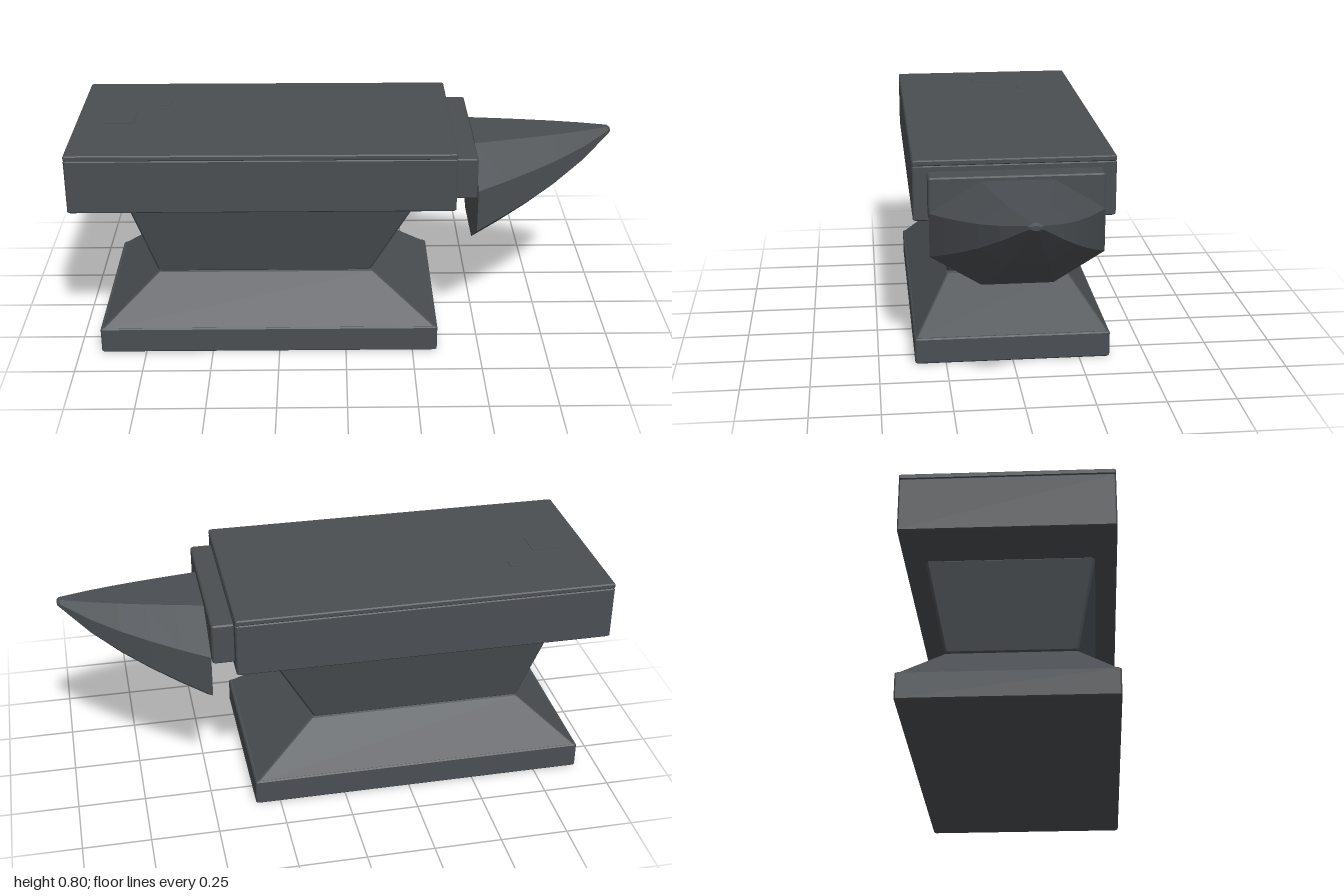
import * as THREE from 'three';

const steel = new THREE.MeshStandardMaterial({ color: 0x4a4e52 });
steel.name = 'dark steel';

// Skins a stack of rings (counter-clockwise about the stacking direction) with flat faces and end caps
function loft(rings) {
  const pos = [];
  const tri = (a, b, c) => pos.push(...a, ...b, ...c);
  const n = rings[0].length;
  for (let r = 0; r < rings.length - 1; r++) {
    const lo = rings[r], hi = rings[r + 1];
    for (let i = 0; i < n; i++) {
      const j = (i + 1) % n;
      tri(lo[i], lo[j], hi[j]);
      tri(lo[i], hi[j], hi[i]);
    }
  }
  const first = rings[0], last = rings[rings.length - 1];
  for (let i = 1; i < n - 1; i++) {
    tri(first[0], first[i + 1], first[i]);
    tri(last[0], last[i], last[i + 1]);
  }
  const geo = new THREE.BufferGeometry();
  geo.setAttribute('position', new THREE.Float32BufferAttribute(pos, 3));
  geo.computeVertexNormals();
  return geo;
}

// Horizontal rectangle with cut corners
function rectRing(y, x0, x1, z, c) {
  return [
    [x1, y, z - c], [x1, y, -z + c], [x1 - c, y, -z], [x0 + c, y, -z],
    [x0, y, -z + c], [x0, y, z - c], [x0 + c, y, z], [x1 - c, y, z],
  ];
}

// Block that may taper from bottom [y, x0, x1, z] to top, with chamfered edges
function block(bottom, top, c = 0.005) {
  const at = (h, inset) => {
    const [y, x0, x1, z] = bottom.map((v, i) => THREE.MathUtils.lerp(v, top[i], h));
    return rectRing(y, x0 + inset, x1 - inset, z - inset, c);
  };
  const e = c / (top[0] - bottom[0]);
  return loft([at(0, c), at(e, 0), at(1 - e, 0), at(1, c)]);
}

// Eight-sided horn: shrinks along a curve while its upper side stays almost level
function horn() {
  const rings = [];
  const x0 = 0.48, length = 0.51, steps = 5;
  const ring = (x, cy, ry, rz) => Array.from({ length: 8 }, (_, i) => {
    const a = (i + 0.5) * Math.PI / 4;
    return [x, cy + ry * Math.cos(a), rz * Math.sin(a)];
  });
  for (let k = 0; k <= steps; k++) {
    const t = k / steps;
    const s = Math.max(Math.pow(1 - t, 0.68), 0.085);
    const ry = 0.208 * s;
    rings.push(ring(x0 + length * t, 0.745 + 0.014 * t - ry * 0.924, ry, 0.338 * s));
  }
  // Blunt tip
  rings.push(ring(1, 0.744, 0.009, 0.015));
  return loft(rings);
}

export function createModel() {
  const group = new THREE.Group();
  const add = (name, geo) => {
    const mesh = new THREE.Mesh(geo, steel);
    mesh.name = name;
    group.add(mesh);
  };

  // Foot and waist
  add('baseSlab', block([0, -0.917, 0.342, 0.365], [0.1, -0.917, 0.342, 0.365]));
  add('baseTaper', block([0.092, -0.917, 0.342, 0.365], [0.272, -0.70, 0.098, 0.225]));
  add('waist', block([0.268, -0.703, 0.092, 0.227], [0.583, -0.80, 0.263, 0.292], 0.008));

  // Body and working face
  add('body', block([0.578, -1, 0.397, 0.365], [0.782, -1, 0.397, 0.365]));
  add('facePlate', block([0.78, -1, 0.397, 0.365], [0.801, -1, 0.397, 0.365], 0.004));

  // Square tool hole and small punch hole markers
  for (const [name, x, z, size] of [['toolHole', -0.84, 0, 0.11], ['punchHole', -0.685, -0.147, 0.042]]) {
    const geo = new THREE.BoxGeometry(size, 0.008, size);
    geo.translate(x, 0.799, z);
    add(name, geo);
  }

  // Neck and horn
  add('neck', block([0.605, 0.39, 0.476, 0.313], [0.76, 0.39, 0.476, 0.313]));
  add('horn', horn());
  return group;
}
